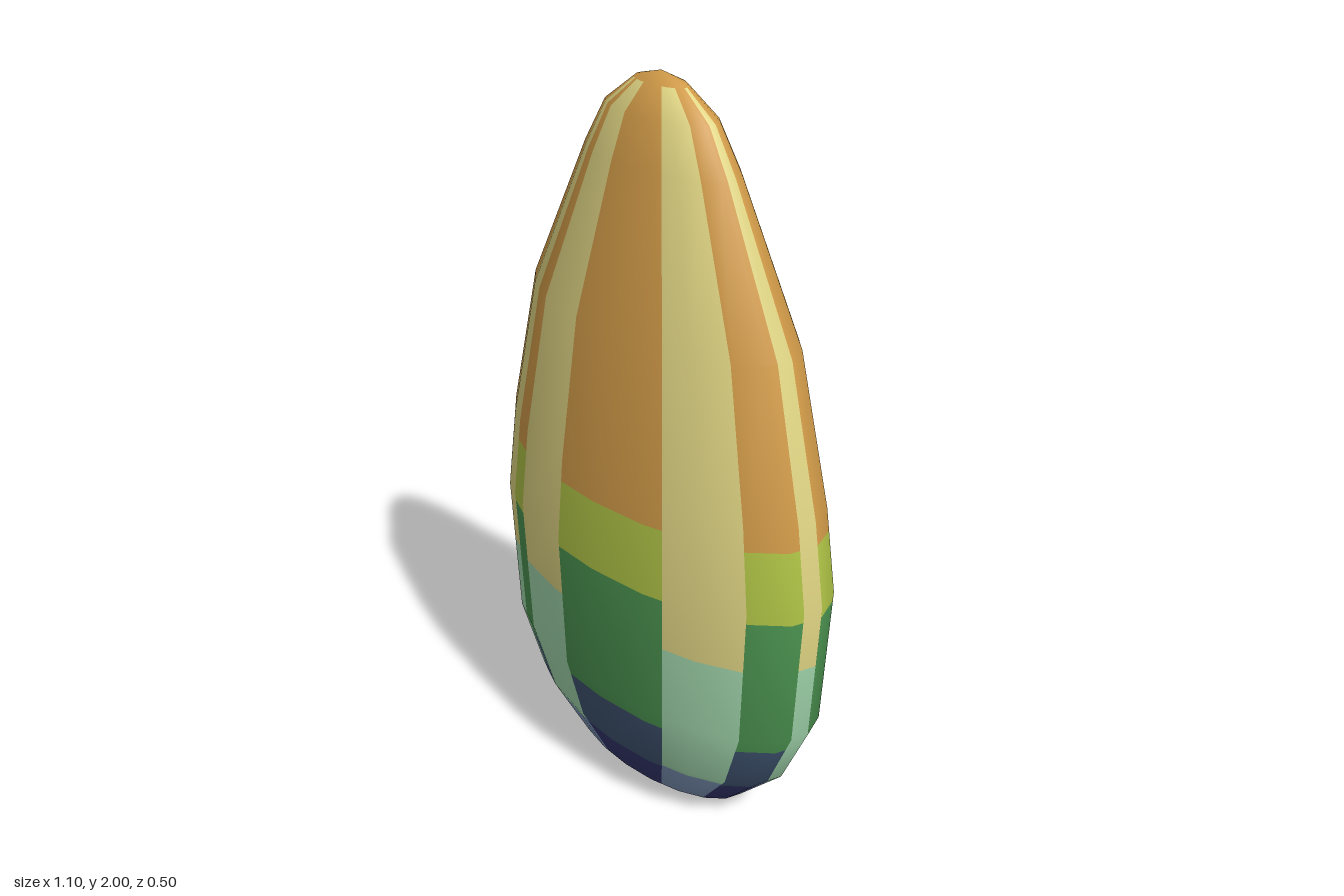
import * as THREE from 'three';

const DEPTH = 0.4545; // z radius relative to x radius
const STEP = 18; // twenty sides

// Profile from bottom to top: [radius, height]
const profile = [[0, 0], [0.31, 0.06], [0.45, 0.21], [0.53, 0.4], [0.55, 0.8], [0.515, 1.03],
  [0.42, 1.42], [0.235, 1.8], [0.17, 1.91], [0.075, 1.98], [0, 2]];

const colors = {
  orange: 0xd09a48, straw: 0xdfd483, olive: 0xb0c446, leafGreen: 0x4b9350,
  mint: 0xa2d7ad, slate: 0x3f5370, indigo: 0x34366c, blueGrey: 0x7d95b8,
};

// Bands as [lower height, colour]; each runs up to the next one
const darkBands = [[0, 'indigo'], [0.18, 'slate'], [0.355, 'leafGreen'], [0.775, 'olive'], [0.97, 'orange']];
const paleBands = [[0, 'indigo'], [0.06, 'blueGrey'], [0.19, 'mint'], [0.625, 'straw'], [1.975, 'orange']];
const thinBands = [...darkBands, [1.65, 'straw'], [1.975, 'orange']];

// Dark stripes as [start, end] in degrees from the front towards +x
const darkStripes = [[-14.6, 24.8], [53.2, 79], [90, 125], [153.4, 156.8], [169.3, 187.5],
  [197.5, 214.5], [242.5, 270], [288, 303.6], [313, 323.2]];
const THIN = 3;

// Smoothed outline normals at the profile points
const segmentNormals = profile.slice(1).map(([r, y], i) =>
  new THREE.Vector2(y - profile[i][1], profile[i][0] - r).normalize());
const outlineNormals = profile.map((p, i) => {
  if (i === 0) return new THREE.Vector2(0, -1);
  if (i === profile.length - 1) return new THREE.Vector2(0, 1);
  return segmentNormals[i - 1].clone().add(segmentNormals[i]).normalize();
});

function outlineAt(y) {
  let i = 0;
  while (i < profile.length - 2 && y > profile[i + 1][1]) i++;
  const t = (y - profile[i][1]) / (profile[i + 1][1] - profile[i][1]);
  return {
    r: THREE.MathUtils.lerp(profile[i][0], profile[i + 1][0], t),
    n: outlineNormals[i].clone().lerp(outlineNormals[i + 1], t),
  };
}

// Point and normal on the faceted, flattened body
function surfaceAt(angle, y) {
  const { r, n } = outlineAt(y);
  const k = Math.floor(angle / STEP);
  const corner = (j) => {
    const a = THREE.MathUtils.degToRad(j * STEP);
    return {
      p: new THREE.Vector3(r * Math.sin(a), y, r * Math.cos(a) * DEPTH),
      n: new THREE.Vector3(n.x * Math.sin(a), n.y, n.x * Math.cos(a) / DEPTH).normalize(),
    };
  };
  const a = corner(k), b = corner(k + 1), t = angle / STEP - k;
  return { p: a.p.lerp(b.p, t), n: a.n.lerp(b.n, t).normalize() };
}

// Limits plus every break that lies between them
const cuts = (from, to, breaks) => [from, ...breaks.filter((v) => v > from + 1e-4 && v < to - 1e-4), to];

const sideAngles = Array.from({ length: 24 }, (_, i) => (i - 2) * STEP);
const ringHeights = profile.map((p) => p[1]);

// Adds one coloured patch of the shell to a list of positions and normals
function addPatch(list, a0, a1, y0, y1) {
  const angles = cuts(a0, a1, sideAngles);
  const heights = cuts(y0, y1, ringHeights);
  const add = (...points) => points.forEach(({ p, n }) => {
    list.positions.push(p.x, p.y, p.z);
    list.normals.push(n.x, n.y, n.z);
  });
  for (let i = 0; i < angles.length - 1; i++) {
    for (let j = 0; j < heights.length - 1; j++) {
      const a = surfaceAt(angles[i], heights[j]);
      const b = surfaceAt(angles[i + 1], heights[j]);
      const c = surfaceAt(angles[i + 1], heights[j + 1]);
      const d = surfaceAt(angles[i], heights[j + 1]);
      if (heights[j] > 0) add(a, b, c);
      if (heights[j + 1] < 2) {
        add(a, c, d);
      } else {
        continue;
      }
    }
  }
}

export function createModel() {
  const group = new THREE.Group();
  group.name = 'stripedShell';
  const lists = {};
  for (const name in colors) lists[name] = { positions: [], normals: [] };

  const addStripe = (from, to, bands) => bands.forEach(([y, color], i) =>
    addPatch(lists[color], from, to, y, i + 1 < bands.length ? bands[i + 1][0] : 2));

  // Dark stripes, each followed by the pale gap up to the next one
  darkStripes.forEach(([from, to], i) => {
    const next = i + 1 < darkStripes.length ? darkStripes[i + 1][0] : darkStripes[0][0] + 360;
    addStripe(from, to, i === THIN ? thinBands : darkBands);
    addStripe(to, next, paleBands);
  });

  // One mesh for each colour of the shell
  for (const name in colors) {
    const geometry = new THREE.BufferGeometry();
    geometry.setAttribute('position', new THREE.Float32BufferAttribute(lists[name].positions, 3));
    geometry.setAttribute('normal', new THREE.Float32BufferAttribute(lists[name].normals, 3));
    const material = new THREE.MeshStandardMaterial({ color: colors[name] });
    material.name = name;
    const mesh = new THREE.Mesh(geometry, material);
    mesh.name = name + 'ShellBand';
    group.add(mesh);
  }
  return group;
}
